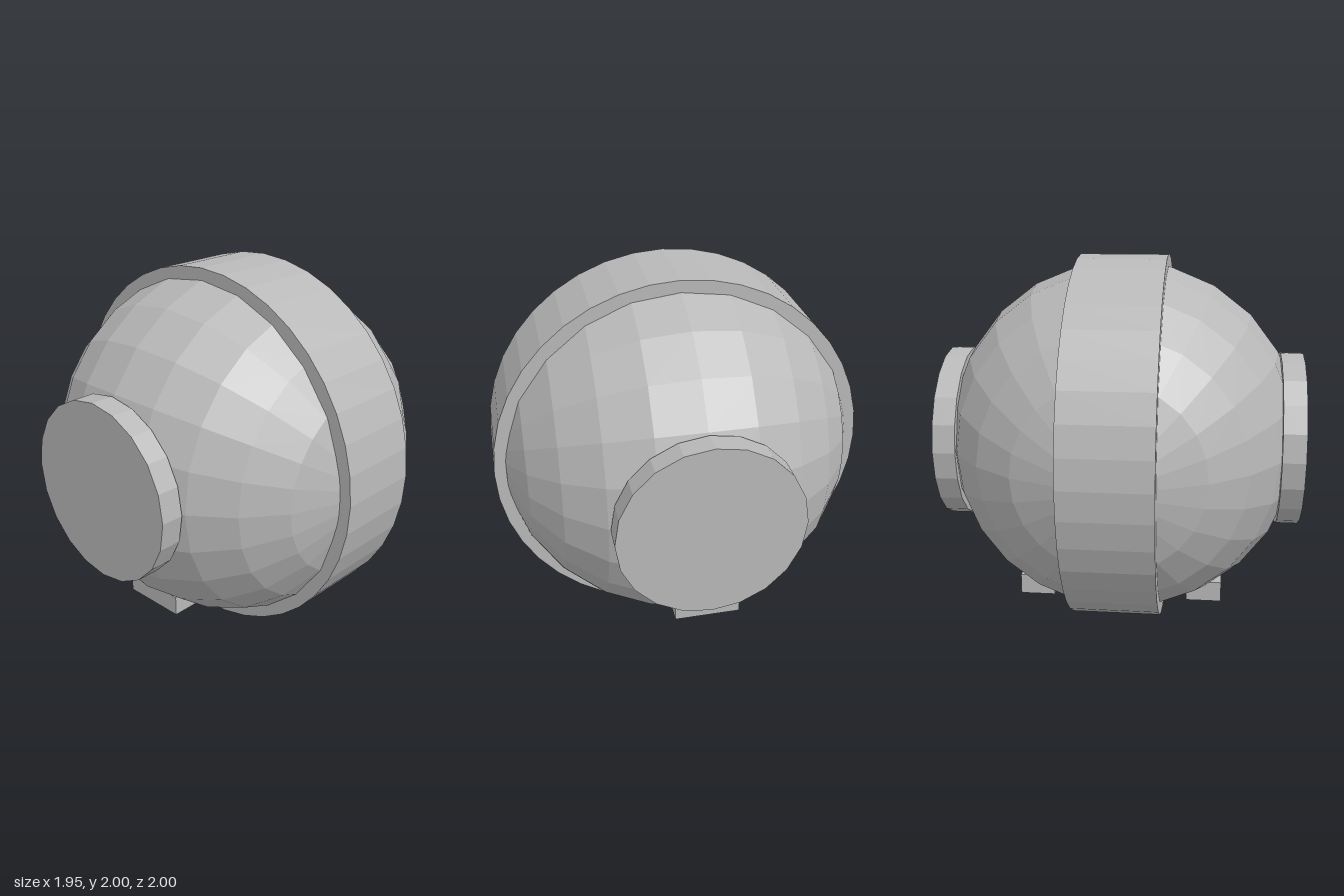
import * as THREE from 'three';

export function createModel() {
  const group = new THREE.Group();
  group.name = 'bandedSphere';

  const grey = new THREE.MeshStandardMaterial({ color: 0xb8b8b8, flatShading: true });
  grey.name = 'plain grey';

  const add = (name, geometry, x, y, z) => {
    const mesh = new THREE.Mesh(geometry, grey);
    mesh.name = name;
    mesh.position.set(x, y, z);
    group.add(mesh);
  };

  // Disc whose axis runs along x
  const disc = (radius, width, sides) =>
    new THREE.CylinderGeometry(radius, radius, width, sides).rotateZ(Math.PI / 2);

  // Faceted ball with its poles at front and back
  add('body', new THREE.SphereGeometry(0.967, 24, 12).rotateX(Math.PI / 2), 0, 1, 0);

  // Broad wheel band around the middle
  add('centreBand', disc(1, 0.472, 40), 0, 1, 0);

  // Mirrored side hubs and small feet
  for (const [side, s] of [['left', 1], ['right', -1]]) {
    add(side + 'Hub', disc(0.476, 0.122, 20), s * 0.912, 1, 0);
    add(side + 'Foot', new THREE.BoxGeometry(0.192, 0.112, 0.37), s * 0.468, 0.172, -0.09);
  }

  return group;
}
